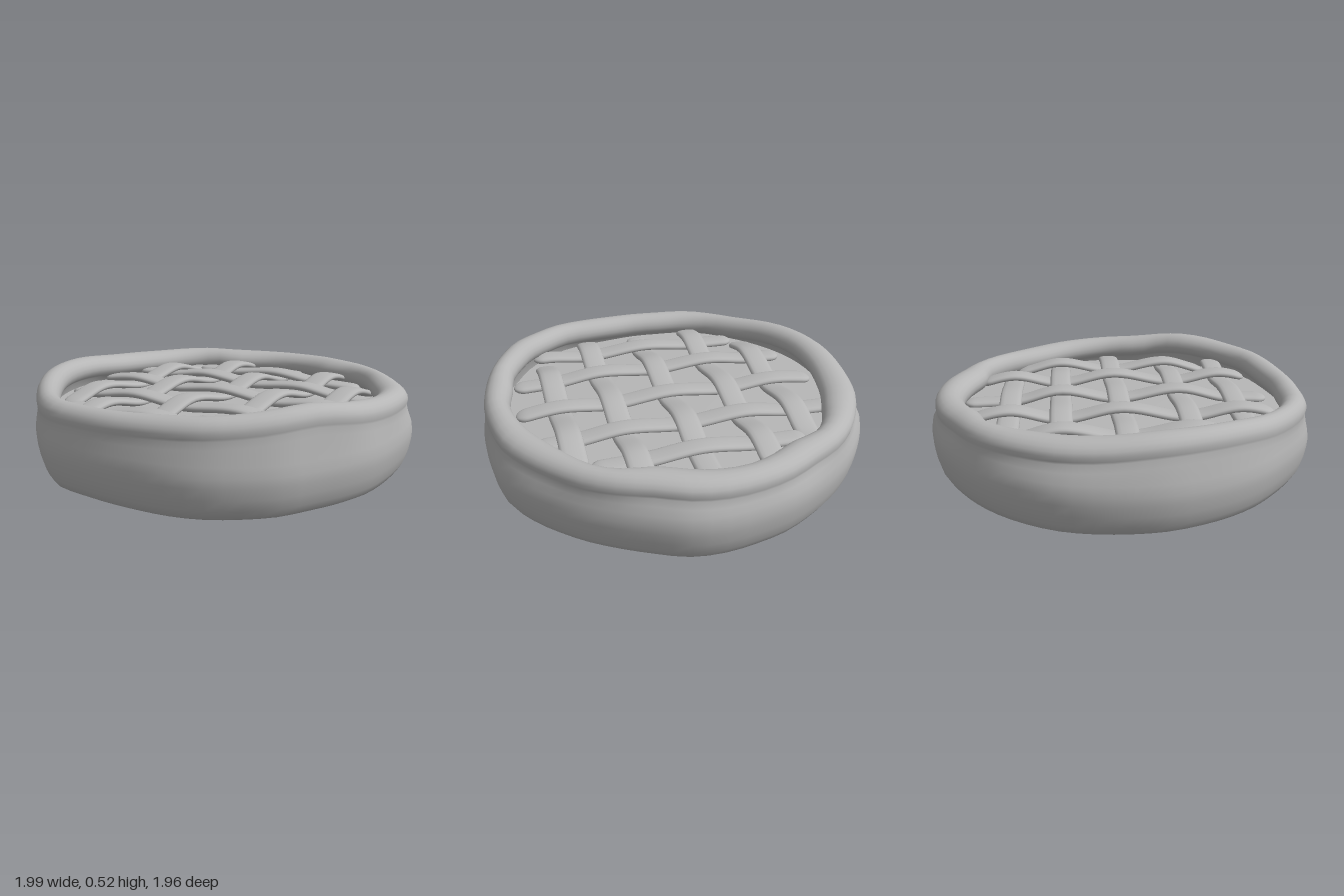
import * as THREE from 'three';

const crustGrey = new THREE.MeshStandardMaterial({ color: 0xb6b6b6 });
crustGrey.name = 'crustGrey';

// Hand-shaped outline: evenly spaced values from +x towards +z
const OUTER = [
  .99, .985, .99, .985, .985, 1.005, 1.005, 1.005, .99, .97, .965, .975,
  1, .985, .975, .98, .985, .99, 1, 1, 1.005, 1.01, 1, .99,
  .98, .975, .98, .98, .99, .99, .965, .955, .96, .97, .99, 1.005,
];
const INNER = [
  .83, .84, .825, .84, .83, .84, .845, .85, .82, .81, .82, .825,
  .85, .86, .845, .835, .83, .825, .81, .8, .79, .79, .795, .82,
  .83, .785, .795, .81, .8, .78, .765, .81, .825, .806, .8, .815,
];
const TOP = [.47, .485, .518, .495, .478, .465, .46, .46, .488, .49, .465, .455, .455, .445, .445, .455, .45, .455];

// Smooth periodic interpolation of an outline table
function sample(table, angle) {
  const n = table.length;
  const f = (angle / (Math.PI * 2)) * n;
  const i = Math.floor(f);
  const t = f - i;
  const [a, b, c, d] = [-1, 0, 1, 2].map((k) => table[(i + k + n) % n]);
  return b + 0.5 * t * (c - a + t * (2 * a - 5 * b + 4 * c - d + t * (3 * (b - c) + d - a)));
}

// Skin over closed rings of points
function loft(name, rings) {
  const n = rings[0].length;
  const index = [];
  for (let j = 0; j < rings.length - 1; j++) {
    for (let i = 0; i < n; i++) {
      const k = (i + 1) % n;
      const a = j * n + i, b = (j + 1) * n + i, c = j * n + k, d = (j + 1) * n + k;
      index.push(a, b, c, c, b, d);
    }
  }
  const geometry = new THREE.BufferGeometry().setFromPoints(rings.flat());
  geometry.setIndex(index);
  geometry.computeVertexNormals();
  const mesh = new THREE.Mesh(geometry, crustGrey);
  mesh.name = name;
  return mesh;
}

// Rings around the y axis from a profile that changes with the angle
function turned(name, profileAt, sides = 72) {
  const columns = Array.from({ length: sides }, (_, i) => {
    const a = (i / sides) * Math.PI * 2;
    return profileAt(a).map(([r, y]) => new THREE.Vector3(Math.cos(a) * r, y, Math.sin(a) * r));
  });
  return loft(name, columns[0].map((_, j) => columns.map((col) => col[j])));
}

function crustProfile(a) {
  const R = sample(OUTER, a), I = sample(INNER, a), H = sample(TOP, a);
  const O = 0.3 * (I + 0.15) + 0.7 * 0.975 * R;
  const points = [
    [0.001, 0], [0.5 * R, 0.006], [0.86 * R, 0.013], [0.91 * R, 0.02], [0.945 * R, 0.04],
    [0.97 * R, 0.08], [0.987 * R, 0.135], [0.997 * R, 0.19], [R, 0.235],
    [0.993 * R, 0.285], [0.5 * (O + 0.98 * R), H - 0.13], [O - 0.005, H - 0.095],
  ];
  // rolled rim, curling back under itself on the inside
  for (let k = 0; k <= 14; k++) {
    const t = -0.3 + (k / 14) * (Math.PI + 1.4);
    points.push([(I + O) / 2 + Math.cos(t) * (O - I) / 2, H - 0.065 + Math.sin(t) * 0.065]);
  }
  points.push([(I + O) / 2 - 0.02, 0.32]);
  return points;
}

// Nearly flat filling height at a radius
const fillHeight = (r) => 0.348 - 0.014 * (r / 0.8) ** 2;

function fillingProfile(a) {
  const edge = sample(INNER, a) + 0.06;
  return Array.from({ length: 9 }, (_, k) => {
    const r = Math.max(0.001, edge * (1 - k / 8));
    return [r, fillHeight(r)];
  });
}

// Lattice strips as [x0, z0, x1, z1]
const ACROSS = [
  [-.42, -.645, .63, -.47], [-.73, -.435, .8, -.175], [-.79, -.135, .81, .125],
  [-.79, .195, .73, .445], [-.64, .5, .54, .7],
];
const ALONG = [
  [-.435, -.73, -.665, .46], [-.155, -.8, -.43, .71], [.155, -.8, -.13, .79],
  [.45, -.69, .19, .79], [.685, -.45, .49, .64],
];

// Parameter along strip p where it meets strip q
function crossing(p, q) {
  const dx = p[2] - p[0], dz = p[3] - p[1], ex = q[2] - q[0], ez = q[3] - q[1];
  return ((q[0] - p[0]) * ez - (q[1] - p[1]) * ex) / (dx * ez - dz * ex);
}

// Signed power that squares off a round section
const squarer = (v, power) => Math.sign(v) * Math.abs(v) ** power;

function latticeStrip(name, strip, others, firstSign, halfWidth, swing) {
  const knots = others
    .map((q, k) => [crossing(strip, q), k % 2 ? -firstSign : firstSign])
    .filter(([t]) => t > 0.03 && t < 0.97);
  // over and under height, resting on the filling at both ends
  const all = [[Math.min(-0.02, knots[0][0] - 0.2), -1], ...knots,
    [Math.max(1.02, knots[knots.length - 1][0] + 0.2), -1]];
  const weave = (t) => {
    let k = 0;
    while (k < all.length - 2 && t > all[k + 1][0]) k++;
    const [t0, v0] = all[k], [t1, v1] = all[k + 1];
    return v0 + (v1 - v0) * THREE.MathUtils.smoothstep(t, t0, t1);
  };
  const start = new THREE.Vector3(strip[0], 0, strip[1]);
  const run = new THREE.Vector3(strip[2], 0, strip[3]).sub(start);
  const length = run.length();
  const side = run.clone().normalize().cross(new THREE.Vector3(0, 1, 0));
  const rings = [];
  const steps = 60;
  for (let s = 0; s <= steps; s++) {
    const t = 0.5 - 0.5 * Math.cos((s / steps) * Math.PI);
    // rounded ends
    const u = Math.min(1, (Math.min(t, 1 - t) * length) / 0.06);
    const taper = Math.max(0.01, Math.sqrt(1 - (1 - u) ** 2));
    const centre = start.clone().addScaledVector(run, t);
    centre.y = fillHeight(centre.length()) + 0.034 + swing * weave(t);
    rings.push(Array.from({ length: 16 }, (_, i) => {
      const a = (i / 16) * Math.PI * 2;
      const p = centre.clone().addScaledVector(side, squarer(Math.cos(a), 0.7) * halfWidth * taper);
      p.y += squarer(Math.sin(a), 0.8) * 0.02 * taper;
      return p;
    }));
  }
  return loft(name, rings);
}

export function createModel() {
  const model = new THREE.Group();
  model.name = 'latticePie';
  model.add(turned('crust', crustProfile), turned('filling', fillingProfile));

  const lattice = new THREE.Group();
  lattice.name = 'lattice';
  ACROSS.forEach((strip, j) =>
    lattice.add(latticeStrip('acrossStrip' + (j + 1), strip, ALONG, j % 2 ? -1 : 1, 0.057, 0.014)));
  ALONG.forEach((strip, i) =>
    lattice.add(latticeStrip('alongStrip' + (i + 1), strip, ACROSS, i % 2 ? 1 : -1, 0.062, 0.026)));
  model.add(lattice);
  return model;
}
